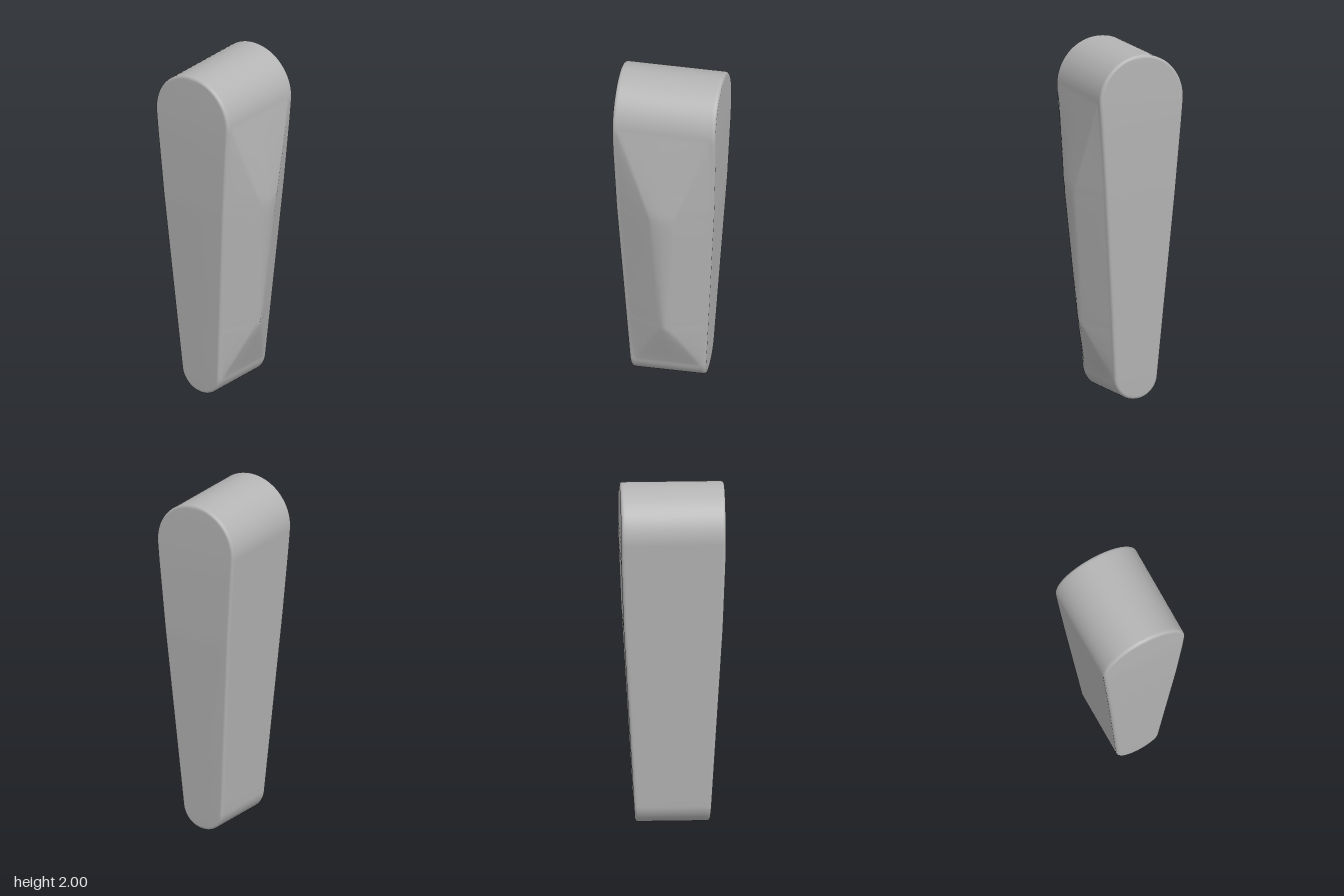
import * as THREE from 'three';
import { mergeVertices } from 'three/addons/utils/BufferGeometryUtils.js';

const grey = new THREE.MeshStandardMaterial({ color: 0xb4b4b4 });
grey.name = 'plain grey';

const CX = -0.035;                         // centre line of the teardrop outline
const TOP = { y: 1.74, r: 0.26 }, BOTTOM = { y: 0.135, r: 0.135 };
const RIM = 0.018;                         // edge rounding

// piecewise linear lookup, keys ascending
function lookup(keys, y) {
  if (y <= keys[0][0]) return keys[0][1];
  for (let i = 1; i < keys.length; i++) {
    const [y0, v0] = keys[i - 1], [y1, v1] = keys[i];
    if (y <= y1) return v0 + (v1 - v0) * (y - y0) / (y1 - y0);
  }
  return keys[keys.length - 1][1];
}
const halfDepth = y => lookup([[0, 0.211], [1.2, 0.279], [1.65, 0.295]], y);
const bulge = y => lookup([[0.12, 0], [0.41, 0.096], [0.46, 0.102], [1.17, 0.108], [1.24, 0.102], [1.74, 0]], y);
const ridgeHalfWidth = y => lookup([[0.1, 0.19], [0.43, 0.025], [1.2, 0.065], [1.74, 0.26]], y);

// half outline from the apex down: position plus outward normal
function outlineRows() {
  const rows = [];
  const tilt = -Math.asin((TOP.r - BOTTOM.r) / (TOP.y - BOTTOM.y));
  const arc = (c, from, to, n) => {
    for (let i = 0; i <= n; i++) {
      const a = from + (to - from) * i / n;
      const nx = Math.cos(a), ny = Math.sin(a);
      rows.push({ x: c.r * nx, y: c.y + c.r * ny, nx: Math.abs(nx) < 1e-6 ? 0 : nx, ny });
    }
  };
  arc(TOP, Math.PI / 2, tilt, 20);
  const upper = rows[rows.length - 1];
  const nx = Math.cos(tilt), ny = Math.sin(tilt);
  const lower = { x: BOTTOM.r * nx, y: BOTTOM.y + BOTTOM.r * ny };
  for (const y of [1.6, 1.45, 1.32, 1.24, 1.205, 1.17, 1.08, 0.9, 0.7, 0.55, 0.46, 0.435, 0.41, 0.34, 0.25, 0.18]) {
    const t = (upper.y - y) / (upper.y - lower.y);
    rows.push({ x: upper.x + (lower.x - upper.x) * t, y, nx, ny });
  }
  arc(BOTTOM, tilt, -Math.PI / 2, 14);
  return rows;
}

// columns across the depth for one row: rounded rim, slope, ridge, mirrored
function columns(row, side) {
  const h = halfDepth(row.y), f = Math.min(ridgeHalfWidth(row.y), h - RIM - 0.03);
  const b = side > 0 ? bulge(row.y) : 0;
  const half = [];
  for (let i = 0; i <= 4; i++) {
    const a = i / 4 * Math.PI / 2;
    half.push([h - RIM * (1 - Math.cos(a)), RIM * (1 - Math.sin(a)), 0]);
  }
  const edge = h - RIM;
  half.push([edge - 0.012, 0, b * 0.92 * 0.012 / (edge - f)]);
  half.push([f + 0.012, 0, b * 0.92 * (edge - f - 0.012) / (edge - f)]);
  half.push([Math.max(f - 0.012, 0.01), 0, b * 0.945]);
  const all = [...half, [0, 0, b], ...half.slice().reverse().map(([z, i, p]) => [-z, i, p])];
  // rim columns run from the flat face (full depth) out to the full outline
  return all.map(([z, inset, push]) => [
    CX + side * (row.x - inset * row.nx) + push,
    row.y - inset * row.ny,
    z,
  ]);
}

function bodyGeometry() {
  const rows = outlineRows();
  const positions = [], index = [];
  const n = columns(rows[0], 1).length;
  const start = side => (side > 0 ? 0 : rows.length * n);
  for (const side of [1, -1])
    for (const row of rows) for (const p of columns(row, side)) positions.push(...p);
  const quad = (a, b, c, d) => index.push(a, b, c, a, c, d);

  for (let j = 0; j < rows.length - 1; j++) {
    // side walls
    for (let k = 0; k < n - 1; k++) {
      const r = start(1) + j * n + k, l = start(-1) + j * n + k;
      quad(r, r + n, r + n + 1, r + 1);
      quad(l, l + 1, l + n + 1, l + n);
    }
    // front and back faces
    const r = start(1) + j * n, l = start(-1) + j * n, e = n - 1;
    quad(l, l + n, r + n, r);
    quad(l + e, r + e, r + n + e, l + n + e);
  }
  const geometry = new THREE.BufferGeometry();
  geometry.setAttribute('position', new THREE.Float32BufferAttribute(positions, 3));
  geometry.setIndex(index);
  const merged = mergeVertices(geometry, 1e-5);
  merged.computeVertexNormals();
  return merged;
}

export function createModel() {
  const group = new THREE.Group();
  group.name = 'taperedWedge';
  const body = new THREE.Mesh(bodyGeometry(), grey);
  body.name = 'body';
  group.add(body);
  return group;
}
